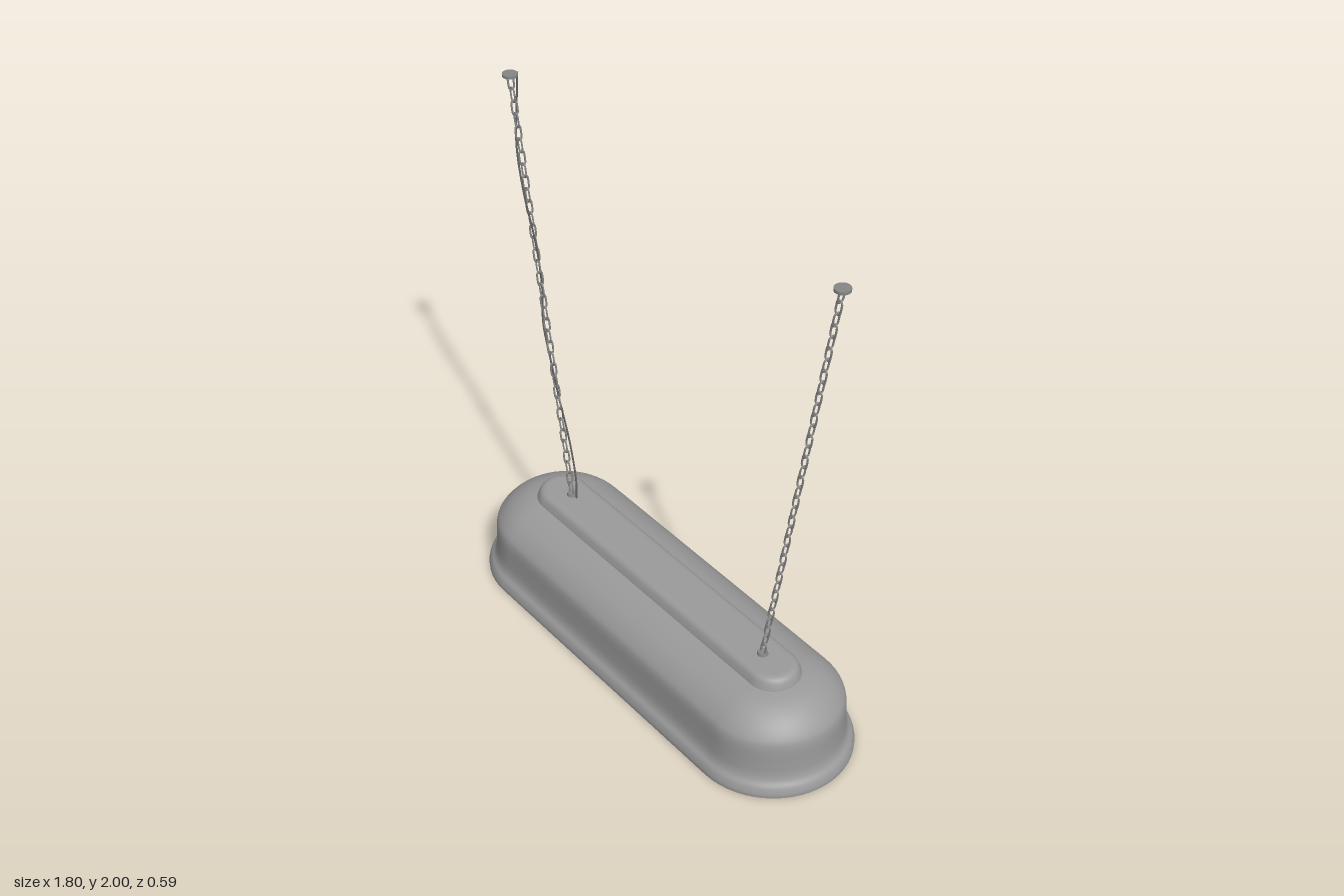
import * as THREE from 'three';

const HALF = 0.605; // half length of the straight middle of the shade
const shadeGrey = new THREE.MeshStandardMaterial({ color: 0x9a9a9a });
const chainGrey = new THREE.MeshStandardMaterial({ color: 0x868686 });
const cordGrey = new THREE.MeshStandardMaterial({ color: 0x606060 });

function add(parent, name, geometry, material, x = 0, y = 0, z = 0) {
  const mesh = new THREE.Mesh(geometry, material);
  mesh.name = name;
  mesh.position.set(x, y, z);
  parent.add(mesh);
  return mesh;
}

const spline = (points, n) =>
  new THREE.SplineCurve(points.map(p => new THREE.Vector2(...p))).getPoints(n);

// Sweeps a profile of (radius, height) around a stadium outline
function stadiumLoft(profile, arc = 28) {
  const positions = [], index = [], ring = 2 * (arc + 1);
  for (const p of profile) {
    for (let k = 0; k < ring; k++) {
      const side = k <= arc ? 1 : -1;
      const a = -Math.PI / 2 + Math.PI * (k - (side < 0 ? 1 : 0)) / arc;
      positions.push(side * HALF + p.x * Math.cos(a), p.y, p.x * Math.sin(a));
    }
  }
  for (let j = 0; j < profile.length - 1; j++) {
    for (let k = 0; k < ring; k++) {
      const n = (k + 1) % ring;
      const a = j * ring + k, b = j * ring + n;
      index.push(a, a + ring, b, b, a + ring, b + ring);
    }
  }
  const g = new THREE.BufferGeometry();
  g.setAttribute('position', new THREE.Float32BufferAttribute(positions, 3));
  g.setIndex(index);
  g.computeVertexNormals();
  return g;
}

// One oval chain link, long axis along y
function linkGeometry(halfLength, halfWidth, wire) {
  const points = [], straight = halfLength - halfWidth;
  for (let i = 0; i < 16; i++) {
    const a = (i + 0.5) / 16 * Math.PI * 2;
    points.push(new THREE.Vector3(
      halfWidth * Math.cos(a), halfWidth * Math.sin(a) + Math.sign(Math.sin(a)) * straight, 0));
  }
  return new THREE.TubeGeometry(new THREE.CatmullRomCurve3(points, true), 24, wire, 6, true);
}

export function createModel() {
  const model = new THREE.Group();
  model.name = 'pendantLamp';

  // Shade: outer skin, inner skin and the lip joining them
  const shade = new THREE.Group();
  shade.name = 'shade';
  model.add(shade);
  const outer = spline([[0.295, 0], [0.295, 0.015], [0.287, 0.038], [0.272, 0.058], [0.264, 0.085],
    [0.261, 0.13], [0.258, 0.195], [0.244, 0.23], [0.205, 0.27], [0.15, 0.3], [0.09, 0.315]], 44);
  const inner = spline([[0, 0.309], [0.09, 0.307], [0.147, 0.292], [0.199, 0.264], [0.236, 0.226],
    [0.25, 0.193], [0.253, 0.13], [0.256, 0.085], [0.265, 0.054], [0.28, 0.033], [0.287, 0.013],
    [0.287, 0]], 44);
  add(shade, 'shadeOuter', stadiumLoft(outer), shadeGrey);
  add(shade, 'shadeInner', stadiumLoft(inner), shadeGrey);
  add(shade, 'shadeLip', stadiumLoft([new THREE.Vector2(0.287, 0), new THREE.Vector2(0.295, 0)]), shadeGrey);

  // Raised cap along the top
  const cap = spline([[0.101, 0.308], [0.097, 0.322], [0.088, 0.342], [0.076, 0.352], [0.062, 0.355]], 16);
  cap.push(new THREE.Vector2(0.05, 0.355), new THREE.Vector2(0, 0.355));
  add(model, 'topCap', stadiumLoft(cap), shadeGrey);

  // Light tube under the shade with its two holders
  add(model, 'lightTube', new THREE.CylinderGeometry(0.016, 0.016, 1.3, 20), shadeGrey, 0, 0.185, 0)
    .rotation.z = Math.PI / 2;
  for (const s of [-1, 1])
    add(model, 'tubeHolder', new THREE.CylinderGeometry(0.008, 0.008, 0.12, 12), shadeGrey, s * 0.5, 0.249, 0);

  // Chains with their mounts
  const link = linkGeometry(0.0265, 0.0105, 0.0034);
  const count = 36;
  for (const s of [-1, 1]) {
    const chain = new THREE.Group();
    chain.name = s > 0 ? 'leftChain' : 'rightChain';
    model.add(chain);
    const bottom = new THREE.Vector3(s * 0.55, 0.36, 0);
    const top = new THREE.Vector3(s * 0.83, 1.992, 0);
    const tilt = -Math.atan2(top.x - bottom.x, top.y - bottom.y);
    for (let i = 0; i < count; i++) {
      const p = bottom.clone().lerp(top, (i + 0.5) / count);
      const mesh = add(chain, 'chainLink', link, chainGrey, p.x, p.y, p.z);
      mesh.rotation.set(0, i % 2 ? Math.PI / 2 : 0, tilt, 'ZYX');
    }
    add(chain, 'shadeMount', new THREE.CylinderGeometry(0.017, 0.02, 0.012, 24), chainGrey, bottom.x, 0.36, 0);
    add(chain, 'ceilingMount', new THREE.CylinderGeometry(0.027, 0.027, 0.01, 24), chainGrey, top.x, 1.995, 0);
  }

  // Power cord winding loosely along the right chain
  const cord = [[-0.523, 0.35, 0], [-0.53, 0.42, -0.007], [-0.573, 0.58, -0.014], [-0.62, 0.77, -0.004],
    [-0.65, 0.92, 0.004], [-0.698, 1.05, -0.003], [-0.709, 1.2, -0.012], [-0.712, 1.38, 0.004],
    [-0.755, 1.58, 0.017], [-0.803, 1.74, 0.005], [-0.828, 1.87, -0.02], [-0.835, 1.995, -0.034]];
  const path = new THREE.CatmullRomCurve3(cord.map(p => new THREE.Vector3(...p)));
  add(model, 'powerCord', new THREE.TubeGeometry(path, 80, 0.0035, 8), cordGrey);

  return model;
}
